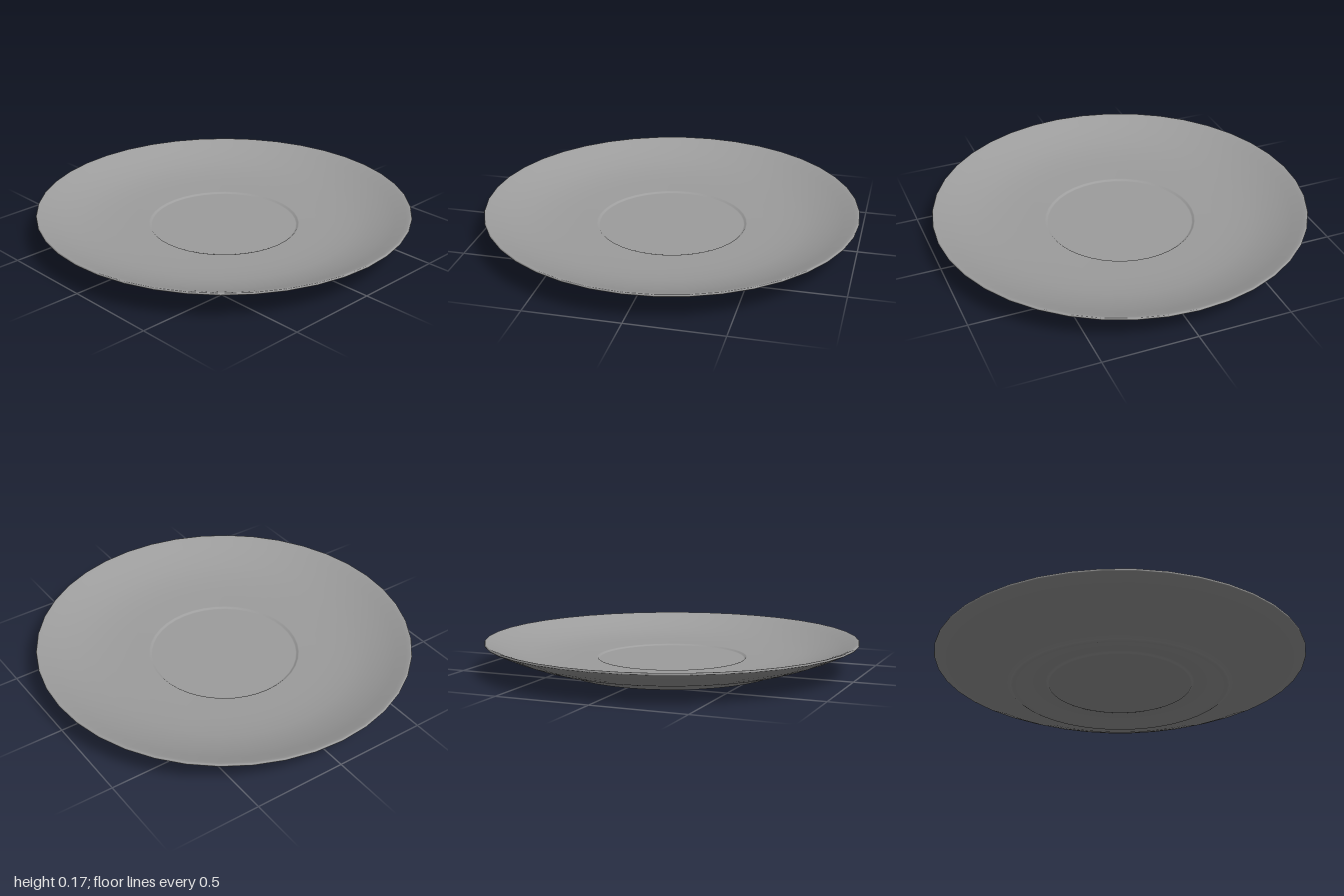
import * as THREE from 'three';

// Shallow saucer: one closed profile turned around the vertical axis
export function createModel() {
  const model = new THREE.Group();
  model.name = 'saucer';
  const material = new THREE.MeshStandardMaterial({ color: 0x9d9d9d });

  const profile = [
    // underside of the cup well, standing slightly proud of the hollow around it
    [0, 0.023], [0.38, 0.023], [0.386, 0.024], [0.392, 0.031], [0.4, 0.033],
    // hollow and foot ring
    [0.44, 0.032], [0.47, 0.028], [0.51, 0.016], [0.55, 0.004], [0.565, 0],
    [0.578, 0], [0.585, 0.004], [0.597, 0.013], [0.615, 0.02],
    // flared outer wall
    [0.67, 0.034], [0.74, 0.051], [0.81, 0.074], [0.88, 0.1], [0.94, 0.127], [0.988, 0.149],
    // thin rim
    [0.998, 0.154], [1, 0.158], [0.998, 0.164], [0.994, 0.165], [0.988, 0.164],
    // inner slope
    [0.97, 0.158], [0.92, 0.138], [0.86, 0.116], [0.78, 0.094], [0.7, 0.079], [0.6, 0.07], [0.5, 0.067],
    // small steep step down into the cup well
    [0.405, 0.066], [0.399, 0.065], [0.393, 0.059], [0.387, 0.058], [0, 0.058],
  ].map(([r, y]) => new THREE.Vector2(r, y));

  const plate = new THREE.Mesh(new THREE.LatheGeometry(profile, 40), material);
  plate.name = 'plate';
  model.add(plate);
  return model;
}
